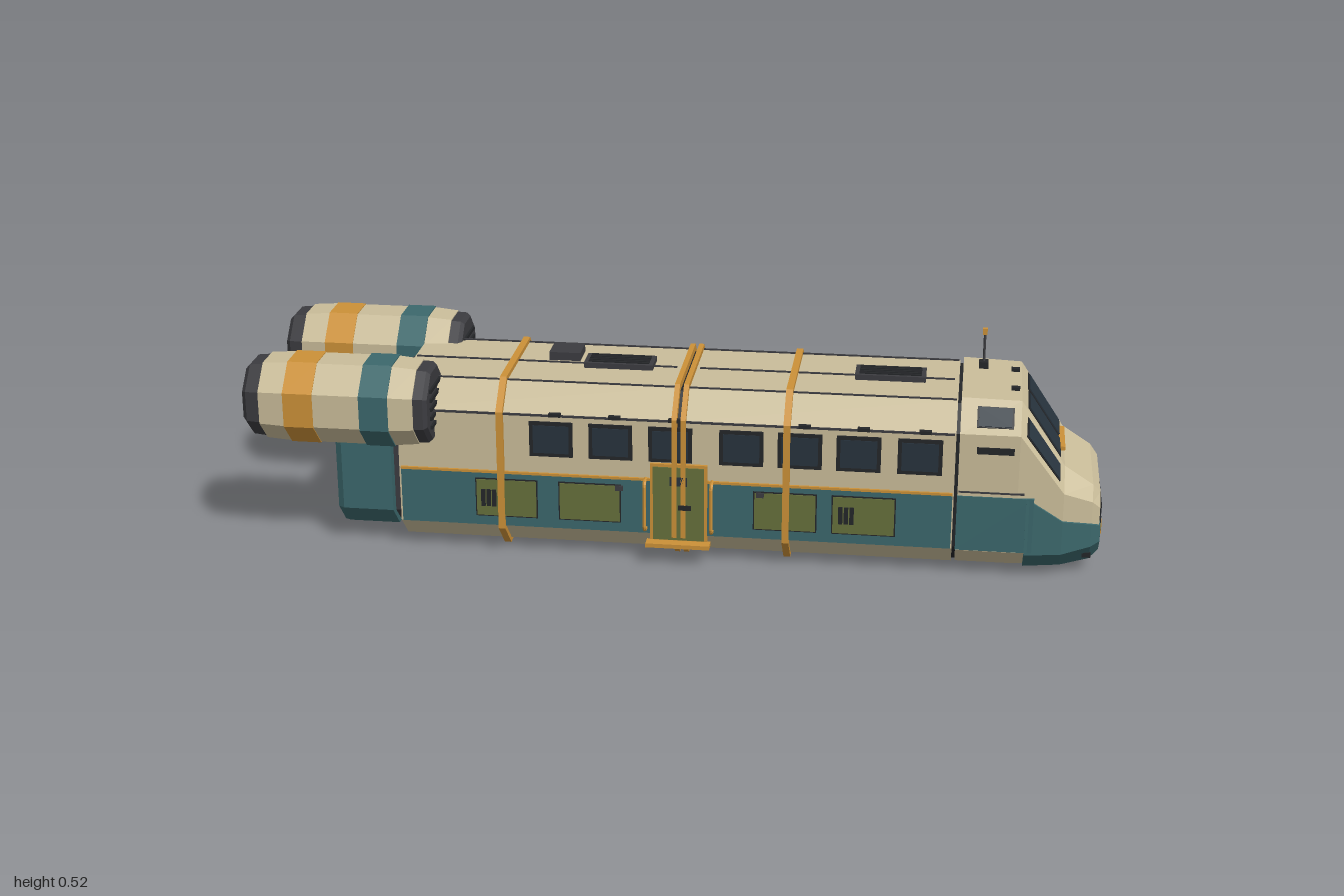
import * as THREE from 'three';
import { ConvexGeometry } from 'three/addons/geometries/ConvexGeometry.js';

const C = { cream: 0xcabd9a, teal: 0x3c686c, olive: 0x66703c, orange: 0xcc9138,
  dark: 0x3c3c40, black: 0x242629, glass: 0x27333d };
const mats = {};
for (const k in C) mats[k] = new THREE.MeshStandardMaterial({ color: C[k], flatShading: true });

export function createModel() {
  const root = new THREE.Group();
  root.name = 'transportShip';

  const add = (name, color, geo, parent = root) => {
    const m = new THREE.Mesh(geo, mats[color]);
    m.name = name;
    parent.add(m);
    return m;
  };
  const box = (name, color, w, h, d, x, y, z, parent) => {
    const m = add(name, color, new THREE.BoxGeometry(w, h, d), parent);
    m.position.set(x, y, z);
    return m;
  };
  // Skin over cross-sections [x, [[z, y], ...]] with x rising, closed at both ends
  const loft = (sections) => {
    const out = [];
    const v = (i, j) => {
      const [x, pts] = sections[i], p = pts[j % pts.length];
      return [x, p[1], p[0]];
    };
    const n = sections[0][1].length, last = sections.length - 1;
    for (let i = 0; i < last; i++) for (let j = 0; j < n; j++) {
      const a = v(i, j), b = v(i, j + 1), c = v(i + 1, j + 1), d = v(i + 1, j);
      out.push(...a, ...d, ...c, ...a, ...c, ...b);
    }
    for (let j = 1; j < n - 1; j++) {
      out.push(...v(0, 0), ...v(0, j), ...v(0, j + 1));
      out.push(...v(last, 0), ...v(last, j + 1), ...v(last, j));
    }
    const g = new THREE.BufferGeometry();
    g.setAttribute('position', new THREE.Float32BufferAttribute(out, 3));
    g.computeVertexNormals();
    return g;
  };
  // Octagon: top half width and height, side half width and its two heights, bottom
  const oct = (wt, yt, ws, ysh, ylo, wb, yb) => [[wb, yb], [ws, ylo], [ws, ysh], [wt, yt],
    [-wt, yt], [-ws, ysh], [-ws, ylo], [-wb, yb]];
  const regular = (r, z, y) => oct(r * 0.414, r, r, r * 0.414, -r * 0.414, r * 0.414, -r)
    .map(p => [p[0] + z, p[1] + y]);
  const hull = (o) => oct(0.14 + o * 0.4, 0.411 + o, 0.198 + o, 0.352 + o * 0.4, 0.068 - o * 0.4, 0.14 + o * 0.4, 0.012 - o);
  const slab = (name, color, o, x0, x1) => add(name, color, loft([[x0, hull(o)], [x1, hull(o)]]));
  // Thin plate lying on a four-cornered face, over a u/v range
  const plate = (name, color, q, u0, u1, v0, v1, t) => {
    const P = q.map(p => new THREE.Vector3(...p));
    const at = (u, v) => P[0].clone().lerp(P[1], u).lerp(P[3].clone().lerp(P[2], u), v);
    const n = P[2].clone().sub(P[0]).cross(P[3].clone().sub(P[1])).normalize();
    const mid = at(0.5, 0.5);
    if (n.dot(new THREE.Vector3(mid.x - 0.6, mid.y - 0.2, mid.z)) < 0) n.negate();
    const pts = [];
    for (const [u, v] of [[u0, v0], [u1, v0], [u1, v1], [u0, v1]])
      for (const k of [-0.008, t]) pts.push(at(u, v).addScaledVector(n, k));
    add(name, color, new ConvexGeometry(pts));
  };
  const framed = (name, q, u0, u1, v0, v1) => {
    plate(name + 'Frame', 'black', q, u0 - 0.03, u1 + 0.03, v0 - 0.025, v1 + 0.025, 0.002);
    plate(name, 'glass', q, u0, u1, v0, v1, 0.004);
  };

  // Main hull in two lengths, with joints and hoops
  slab('rearHull', 'cream', 0, -0.645, 0.005);
  slab('frontHull', 'cream', 0, 0.035, 0.655);
  slab('centreJoint', 'black', -0.006, 0, 0.04);
  slab('cabJoint', 'black', -0.006, 0.65, 0.67);
  slab('tailJoint', 'dark', -0.03, -0.67, -0.64);
  for (const x of [-0.4, 0.27]) slab('hoop', 'orange', 0.011, x - 0.008, x + 0.008);
  for (const x of [0.01, 0.031]) slab('centreHoop', 'orange', 0.012, x - 0.006, x + 0.006);

  // Tail block
  const tail = (k) => oct(0.17 * k, 0.34, 0.195 * k, 0.31, 0.09, 0.14 * k, 0.035);
  add('tailBlock', 'teal', loft([[-0.8, tail(0.95)], [-0.785, tail(1)], [-0.665, tail(1)]]));

  // Cab
  const cab = [
    [0.663, oct(0.14, 0.42, 0.2, 0.353, 0.066, 0.14, 0.013)],
    [0.80, oct(0.136, 0.416, 0.2, 0.353, 0.066, 0.14, 0.013)],
    [0.905, oct(0.13, 0.26, 0.186, 0.212, 0.068, 0.135, 0.02)],
    [0.972, oct(0.13, 0.217, 0.16, 0.185, 0.082, 0.12, 0.035)],
    [0.99, oct(0.118, 0.195, 0.15, 0.168, 0.09, 0.112, 0.055)],
  ];
  add('cab', 'cream', loft(cab));
  const corner = (i, j) => [cab[i][0], cab[i][1][j][1], cab[i][1][j][0]];
  const screen = [corner(2, 3), corner(2, 4), corner(1, 4), corner(1, 3)];
  framed('windscreenLeft', screen, 0.08, 0.45, 0.13, 0.83);
  framed('windscreenRight', screen, 0.55, 0.92, 0.13, 0.83);
  box('windscreenBar', 'orange', 0.014, 0.009, 0.136, 0.899, 0.278, 0);
  box('noseGrilleFrame', 'black', 0.016, 0.075, 0.136, 0.99, 0.108, 0);
  box('noseGrille', 'dark', 0.018, 0.057, 0.112, 0.99, 0.108, 0);
  for (let i = 0; i < 4; i++) box('noseGrilleSlat', 'black', 0.02, 0.006, 0.1, 0.99, 0.087 + i * 0.014, 0);

  for (const s of [1, -1]) {
    const flip = (pts) => s > 0 ? pts : pts.map(p => [-p[0], p[1]]).reverse();
    const [lo, hi] = s > 0 ? [2, 3] : [5, 4];
    // Cab side glazing and slots
    framed('cornerWindow', [corner(2, lo), corner(2, hi), corner(1, hi), corner(1, lo)], 0.25, 0.75, 0.14, 0.84);
    framed('cabRoofWindow', [corner(0, lo), corner(1, lo), corner(1, hi), corner(0, hi)], 0.3, 0.85, 0.22, 0.75);
    box('cabSlot', 'black', 0.085, 0.016, 0.006, 0.745, 0.315, s * 0.2);
    box('cabSeam', 'dark', 0.15, 0.004, 0.004, 0.74, 0.212, s * 0.2);
    // Lower cab band and nose guard
    box('cabBand', 'teal', 0.175, 0.134, 0.012, 0.75, 0.135, s * 0.197);
    const guard = (wb, yb, ws, yl, yu) => flip([[wb, yb], [ws, yl], [ws, yu], [ws - 0.035, yu]]);
    add('noseGuard', 'teal', loft([
      [0.82, guard(0.145, 0.010, 0.204, 0.062, 0.202)],
      [0.905, guard(0.138, 0.015, 0.192, 0.064, 0.145)],
      [0.972, guard(0.124, 0.029, 0.167, 0.077, 0.132)],
      [0.993, guard(0.116, 0.050, 0.155, 0.087, 0.126)],
    ]));
    box('lampFrame', 'black', 0.014, 0.046, 0.021, 0.988, 0.108, s * 0.115);
    box('lamp', 'orange', 0.018, 0.033, 0.012, 0.988, 0.108, s * 0.115);
    box('fogLamp', 'black', 0.02, 0.012, 0.012, 0.965, 0.048, s * 0.145);
    box('roofLamp', 'black', 0.02, 0.01, 0.014, 0.785, 0.419, s * 0.065);

    // Side band, trim and windows
    for (const [a, b] of [[-0.64, 0.003], [0.037, 0.652]]) {
      const w = b - a, x = (a + b) / 2;
      box('sideBand', 'teal', w, 0.132, 0.01, x, 0.135, s * 0.197);
      box('sideTrim', 'orange', w, 0.006, 0.012, x, 0.204, s * 0.198);
      box('gutter', 'dark', w, 0.005, 0.006, x, 0.35, s * 0.198);
      box('roofSeam', 'dark', w, 0.004, 0.005, x, 0.412, s * 0.136);
    }
    for (const x of [-0.28, -0.14, 0, 0.165, 0.3, 0.435, 0.575]) {
      box('windowFrame', 'black', 0.102, 0.086, 0.008, x, 0.292, s * 0.198);
      box('window', 'glass', 0.084, 0.068, 0.012, x, 0.292, s * 0.198);
    }
    for (const x of [-0.28, -0.14, 0, 0.3, 0.435, 0.575])
      box('windowLamp', 'black', 0.028, 0.008, 0.012, x + 0.01, 0.353, s * 0.2);

    // Service panels
    for (const x of [-0.388, -0.19, 0.268, 0.45]) {
      box('servicePanelEdge', 'black', 0.148, 0.096, 0.008, x, 0.14, s * 0.2);
      box('servicePanel', 'olive', 0.142, 0.09, 0.012, x, 0.14, s * 0.2);
    }
    for (const x of [-0.43, 0.41]) for (let i = -1; i < 2; i++)
      box('panelVent', 'black', 0.01, 0.042, 0.014, x + i * 0.013, 0.14, s * 0.202);
    for (const x of [-0.12, 0.21]) box('panelLatch', 'dark', 0.018, 0.012, 0.014, x, 0.18, s * 0.201);

    // Door with handrails and step
    box('doorFrame', 'orange', 0.134, 0.196, 0.01, 0.02, 0.148, s * 0.201);
    box('door', 'olive', 0.12, 0.182, 0.016, 0.02, 0.148, s * 0.201);
    box('doorHandle', 'black', 0.03, 0.012, 0.018, 0.035, 0.14, s * 0.203);
    box('doorWindow', 'glass', 0.04, 0.022, 0.018, 0.02, 0.205, s * 0.201);
    for (const x of [-0.058, 0.098]) {
      const path = new THREE.CurvePath();
      const pts = [[0.197, 0.205], [0.216, 0.205], [0.224, 0.196], [0.224, 0.091], [0.216, 0.082], [0.197, 0.082]]
        .map(p => new THREE.Vector3(x, p[1], s * p[0]));
      for (let i = 1; i < pts.length; i++) path.add(new THREE.LineCurve3(pts[i - 1], pts[i]));
      add('handrail', 'orange', new THREE.TubeGeometry(path, 40, 0.0045, 6));
    }
    box('doorStep', 'orange', 0.15, 0.01, 0.03, 0.02, 0.05, s * 0.217);
    for (const x of [-0.03, 0.07]) box('stepBracket', 'dark', 0.012, 0.008, 0.04, x, 0.05, s * 0.195);

    // Engine pod in coloured bands
    const pod = new THREE.Group();
    pod.name = 'enginePod';
    root.add(pod);
    const Z = s * 0.183, Y = 0.365;
    const bands = [
      ['exhaust', 'dark', -0.996, 0.074, -0.985, 0.086], ['exhaustCollar', 'dark', -0.985, 0.086, -0.953, 0.089],
      ['rearCowl', 'cream', -0.953, 0.093, -0.893, 0.097], ['orangeBand', 'orange', -0.893, 0.099, -0.823, 0.099],
      ['middleCowl', 'cream', -0.823, 0.097, -0.713, 0.097], ['tealBand', 'teal', -0.713, 0.1, -0.645, 0.1],
      ['frontCowl', 'cream', -0.645, 0.097, -0.588, 0.092], ['intakeCollar', 'dark', -0.588, 0.089, -0.565, 0.088],
      ['intake', 'dark', -0.565, 0.088, -0.556, 0.08],
    ];
    for (const [name, color, x0, r0, x1, r1] of bands)
      add(name, color, loft([[x0, regular(r0, Z, Y)], [x1, regular(r1, Z, Y)]]), pod);
    for (let i = -2; i <= 2; i++) box('intakeSlat', 'black', 0.008, 0.009, 0.108, -0.555, Y + i * 0.022, Z, pod);
    for (let i = -1; i <= 1; i++) box('exhaustSlat', 'orange', 0.008, 0.008, 0.07, -0.996, Y + i * 0.022, Z, pod);
    box('podMount', 'teal', 0.1, 0.06, 0.1, -0.73, 0.3, s * 0.14, pod);
  }

  // Roof fittings
  box('roofRidge', 'dark', 0.63, 0.004, 0.005, -0.325, 0.412, 0);
  box('roofRidge', 'dark', 0.6, 0.004, 0.005, 0.345, 0.412, 0);
  for (const x of [-0.147, 0.495]) {
    box('roofVent', 'dark', 0.165, 0.016, 0.07, x, 0.416, -0.005);
    for (let i = -2; i <= 2; i++) box('roofVentSlat', 'black', 0.145, 0.004, 0.006, x, 0.425, -0.005 + i * 0.012);
  }
  box('roofHatch', 'dark', 0.075, 0.022, 0.07, -0.283, 0.42, -0.05);

  // Antenna
  box('antennaBase', 'black', 0.022, 0.016, 0.024, 0.71, 0.427, -0.075);
  const mast = add('antennaMast', 'dark', new THREE.CylinderGeometry(0.003, 0.003, 0.075, 8));
  mast.position.set(0.71, 0.467, -0.075);
  box('antennaTip', 'orange', 0.011, 0.015, 0.011, 0.71, 0.508, -0.075);

  return root;
}
